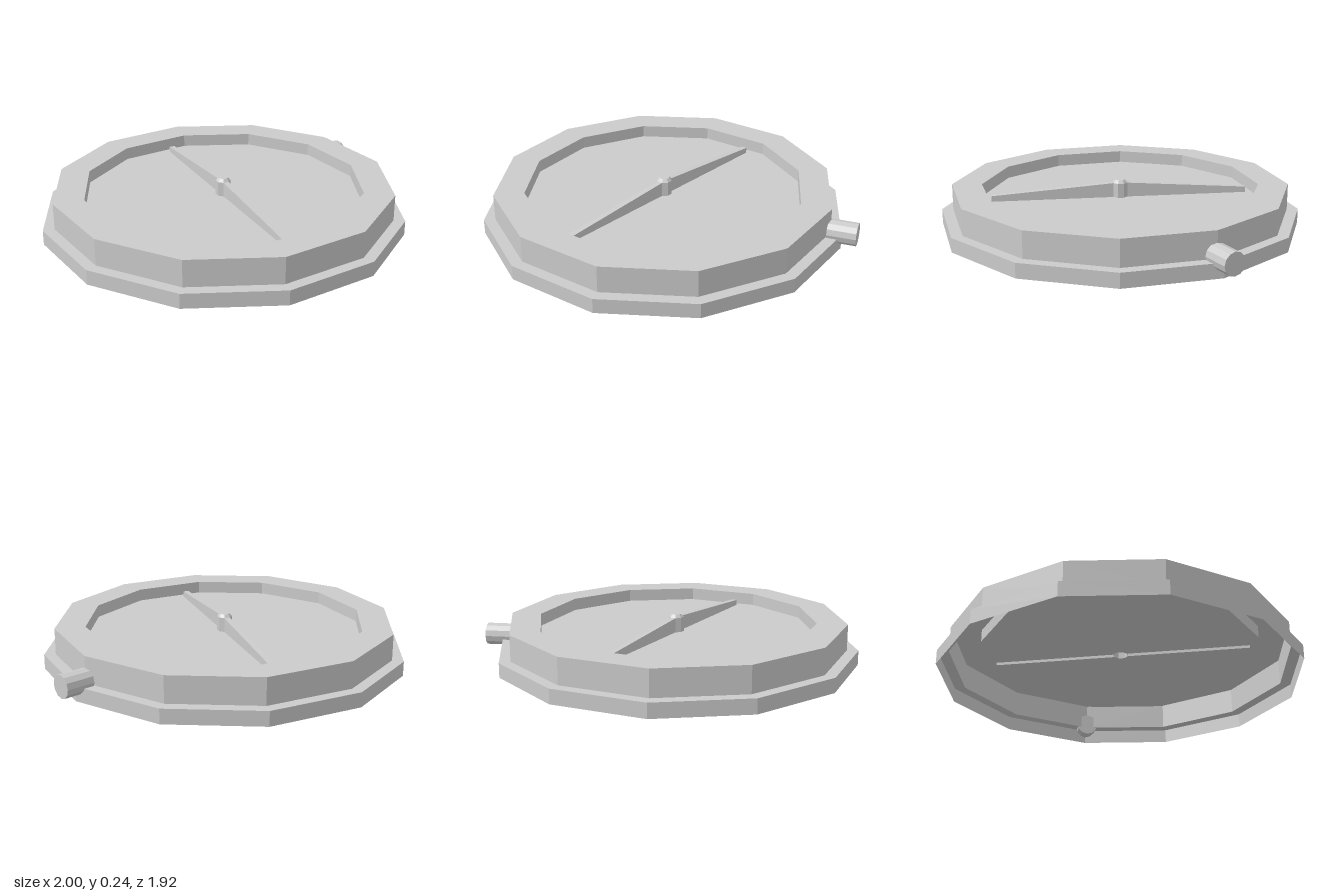
import * as THREE from 'three';

const FLOOR = 0.15;   // height of the recessed dial
const HUB_R = 0.04;
const TIP = 0.685;    // needle half length
const W = HUB_R * Math.sin(Math.PI / 8); // needle half width = half a hub facet
const U0 = HUB_R * Math.cos(Math.PI / 8);

const material = new THREE.MeshStandardMaterial({
  color: 0xcccccc, flatShading: true, side: THREE.DoubleSide,
});

function part(name, geometry, parent) {
  const mesh = new THREE.Mesh(geometry, material);
  mesh.name = name;
  parent.add(mesh);
  return mesh;
}

// corner of a regular polygon
const corner = (r, angle) => new THREE.Vector2(r * Math.cos(angle), r * Math.sin(angle));

// hollow needle arm: sloped top, two sides and an end, open underneath
function armGeometry() {
  const yHub = 0.227, yTip = 0.18;
  const ring = (u, y) => [[u, FLOOR, W], [u, y, W], [u, y, -W], [u, FLOOR, -W]];
  const a = ring(U0, yHub), b = ring(TIP, yTip);
  const positions = [];
  const quad = (p, q, r, s) => positions.push(...p, ...q, ...r, ...p, ...r, ...s);
  for (let i = 0; i < 3; i++) quad(a[i], b[i], b[i + 1], a[i + 1]);
  quad(b[0], b[3], b[2], b[1]);
  const geometry = new THREE.BufferGeometry();
  geometry.setAttribute('position', new THREE.Float32BufferAttribute(positions, 3));
  geometry.computeVertexNormals();
  return geometry;
}

export function createModel() {
  const model = new THREE.Group();
  model.name = 'dialInstrument';
  const body = new THREE.Group();
  body.name = 'body';
  body.position.x = -0.04;
  model.add(body);

  // stepped twelve-sided case, open underneath, with the recess wall
  const profile = [[0.96, 0], [0.96, 0.077], [0.9, 0.077], [0.9, 0.216], [0.74, 0.216], [0.74, FLOOR]];
  part('case', new THREE.LatheGeometry(profile.map(([r, y]) => new THREE.Vector2(r, y)), 12), body);

  // needle assembly frame: its local x runs along the needle
  const angle = Math.atan2(0.635, 0.26);

  // dial plate, cut out beneath the hollow needle and hub
  const plate = new THREE.Shape();
  plate.setFromPoints(Array.from({ length: 12 }, (_, i) => corner(0.74, i * Math.PI / 6)));
  const cut = [];
  for (let half = 0; half < 2; half++) {
    const turn = half * Math.PI;
    const local = [new THREE.Vector2(TIP, -W), new THREE.Vector2(TIP, W)];
    for (let i = 0; i < 4; i++) local.push(corner(HUB_R, Math.PI / 8 + i * Math.PI / 4));
    for (const p of local) cut.push(p.rotateAround(new THREE.Vector2(), turn + angle));
  }
  plate.holes.push(new THREE.Path(cut));
  const plateGeometry = new THREE.ShapeGeometry(plate);
  plateGeometry.rotateX(-Math.PI / 2);
  part('dialPlate', plateGeometry, body).position.y = FLOOR;

  // needle arms and chamfered hub
  const needle = new THREE.Group();
  needle.name = 'needle';
  needle.rotation.y = angle;
  body.add(needle);
  for (const turn of [0, Math.PI]) part('needleArm', armGeometry(), needle).rotation.y = turn;
  const hub = [[HUB_R, FLOOR], [HUB_R, 0.227], [0.026, 0.243], [0, 0.243]];
  part('needleHub', new THREE.LatheGeometry(
    hub.map(([r, y]) => new THREE.Vector2(r, y)), 8, Math.PI / 8), needle);

  // side crown
  const crown = new THREE.CylinderGeometry(0.06, 0.06, 0.15, 12);
  crown.rotateZ(-Math.PI / 2);
  part('crown', crown, model).position.set(0.925, 0.095, 0);

  return model;
}
